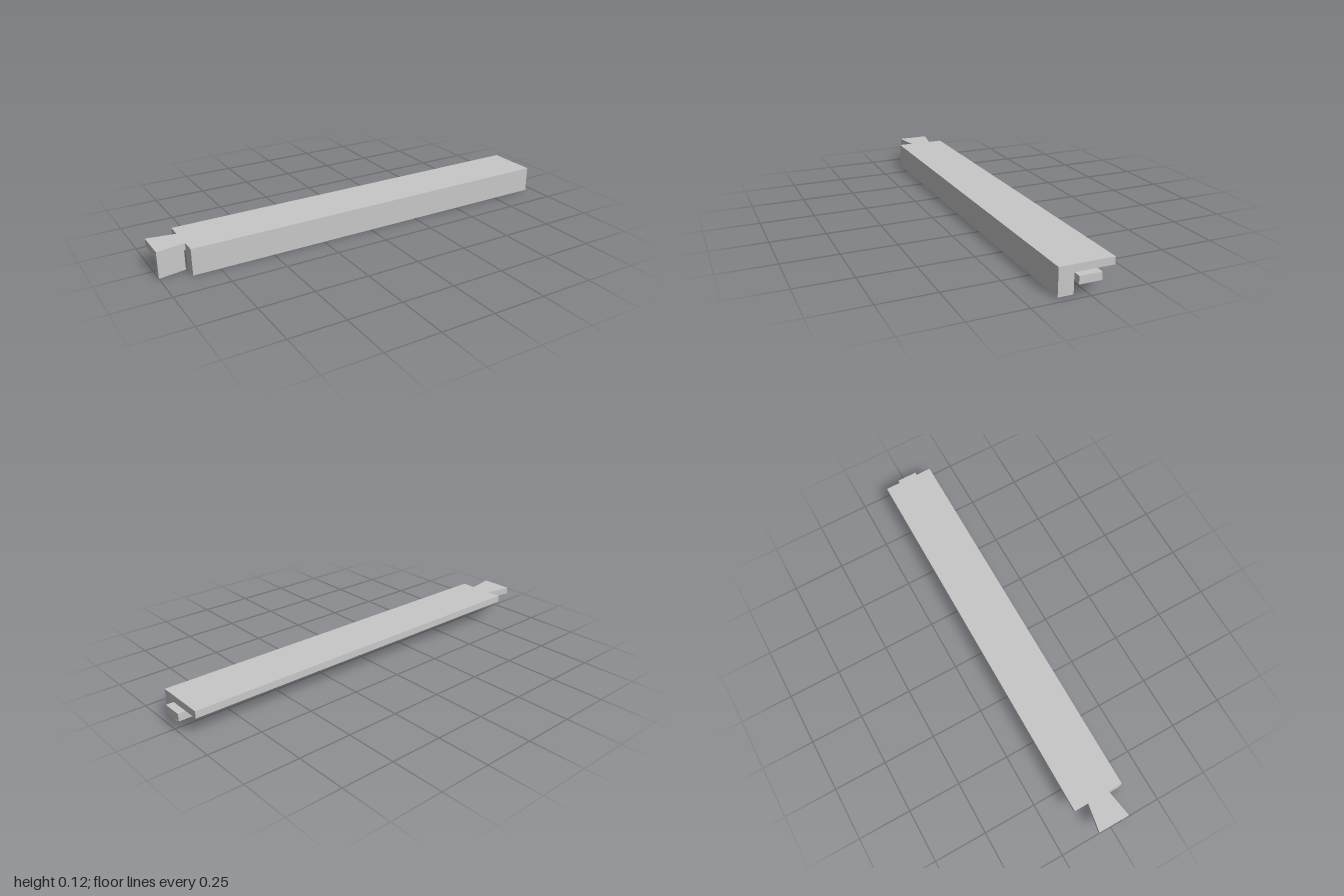
import * as THREE from 'three';

// Prism from a plan outline of [x, z] points, between two heights
function prism(name, outline, y0, y1, material) {
  const shape = new THREE.Shape(outline.map(([x, z]) => new THREE.Vector2(x, -z)));
  const geometry = new THREE.ExtrudeGeometry(shape, { depth: y1 - y0, bevelEnabled: false });
  geometry.rotateX(-Math.PI / 2);
  geometry.translate(0, y0, 0);
  const mesh = new THREE.Mesh(geometry, material);
  mesh.name = name;
  return mesh;
}

const rect = (x0, x1, z0, z1) => [[x0, z1], [x1, z1], [x1, z0], [x0, z0]];

export function createModel() {
  const grey = new THREE.MeshStandardMaterial({ color: 0xc8c8c8 });
  grey.name = 'lightGrey';

  const group = new THREE.Group();
  group.name = 'angleRail';

  const half = 0.121, inner = 0.054; // half width, inner face of the flange
  const under = 0.089, top = 0.122; // plate underside and top
  const x0 = -0.87, x1 = 0.965; // ends of the rail body

  group.add(
    // Top plate with the dovetail at its end
    prism('topPlate', [
      [-1, 0.075], [x0, 0.053], [x0, half], [x1, half],
      [x1, -half], [x0, -half], [x0, -0.053], [-1, -0.075],
    ], under, top, grey),
    // Front flange, and the sliver of it left under the dovetail
    prism('frontFlange', rect(x0, x1, inner, half), 0, under, grey),
    prism('dovetailFlange', [[-1, 0.075], [-0.877, inner], [-1, inner]], 0, under, grey),
    // Tongue under the plate, projecting past the other end
    prism('tongue', rect(0.26, 1, -0.044, inner), 0.055, under, grey),
  );
  return group;
}
